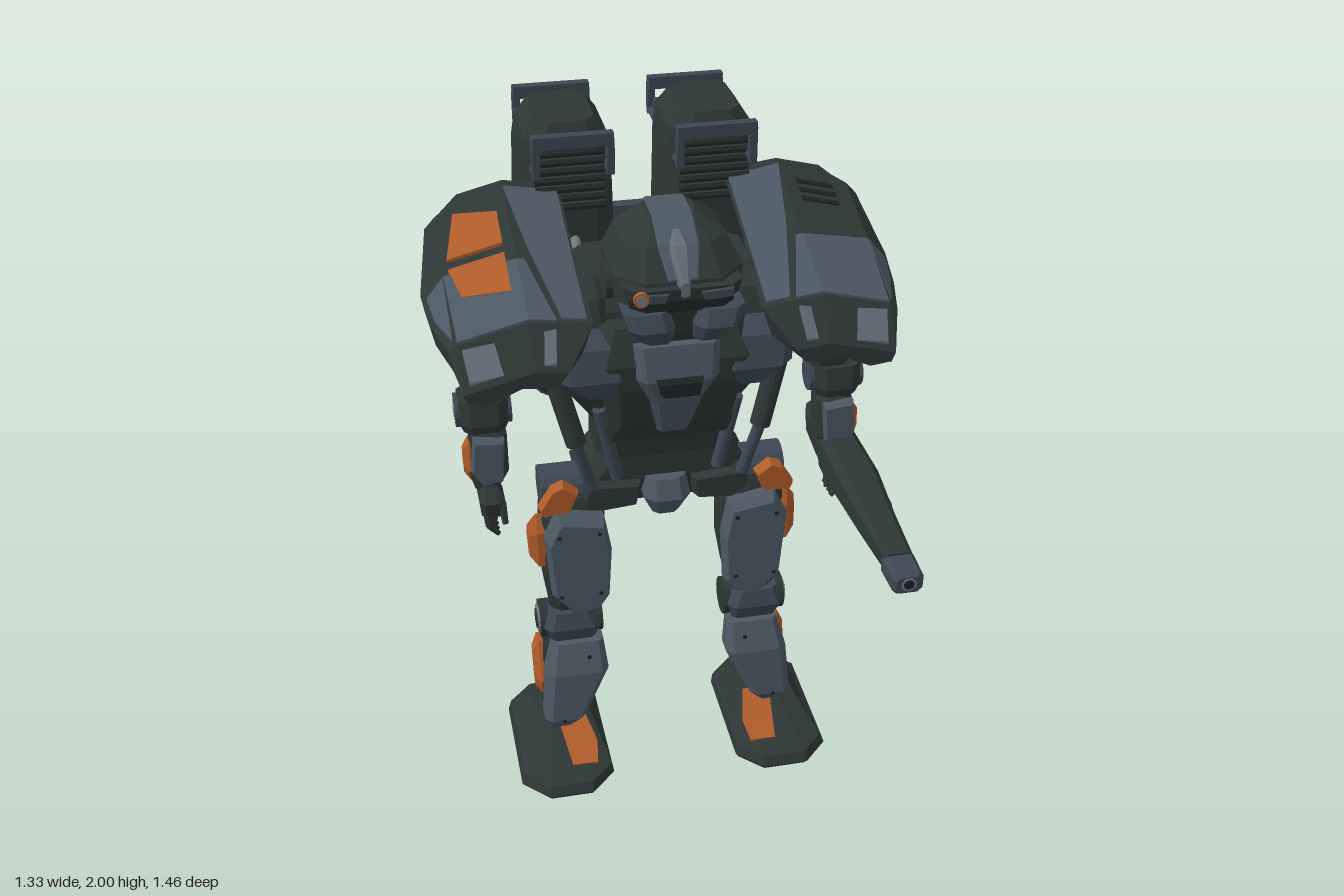
import * as THREE from 'three';

const paint = (name, color) => { const m = new THREE.MeshStandardMaterial({ color }); m.name = name; return m; };
const M = {
  dark: paint('dark hull', 0x2e3735), slate: paint('slate armour', 0x4c5864), mid: paint('blue grey', 0x3d4753),
  light: paint('bare metal', 0x747c83), worn: paint('worn edge', 0x616c76), orange: paint('orange', 0xb05c2a), black: paint('black', 0x1c2222),
};

// Flat-shaded, outward-facing copy of a closed geometry
function facet(geo) {
  const src = geo.index ? geo.toNonIndexed() : geo.clone();
  const p = src.attributes.position.array;
  let volume = 0;
  for (let i = 0; i < p.length; i += 9) {
    const [a, b, c, d, e, f, g, h, k] = p.subarray(i, i + 9);
    volume += a * (e * k - f * h) - b * (d * k - f * g) + c * (d * h - e * g);
  }
  if (volume < 0) for (let i = 0; i < p.length; i += 9)
    for (let j = 0; j < 3; j++) [p[i + 3 + j], p[i + 6 + j]] = [p[i + 6 + j], p[i + 3 + j]];
  const out = new THREE.BufferGeometry();
  out.setAttribute('position', new THREE.BufferAttribute(p, 3));
  out.computeVertexNormals();
  return out;
}

function add(group, name, mat, geo) {
  const mesh = new THREE.Mesh(facet(geo), mat);
  mesh.name = name;
  group.add(mesh);
}

// Skin over rings of points, closed by caps
function loft(rings) {
  const v = [], n = rings[0].length;
  for (let r = 0; r + 1 < rings.length; r++) for (let i = 0; i < n; i++) {
    const j = (i + 1) % n, A = rings[r], B = rings[r + 1];
    v.push(...A[i], ...A[j], ...B[j], ...A[i], ...B[j], ...B[i]);
  }
  const cap = (ring, flip) => {
    const c = [0, 1, 2].map(k => ring.reduce((s, q) => s + q[k], 0) / n);
    for (let i = 0; i < n; i++) {
      const a = ring[i], b = ring[(i + 1) % n];
      v.push(...c, ...(flip ? b : a), ...(flip ? a : b));
    }
  };
  cap(rings[0], true);
  cap(rings[rings.length - 1], false);
  const g = new THREE.BufferGeometry();
  g.setAttribute('position', new THREE.Float32BufferAttribute(v, 3));
  return g;
}

// Chamfered block from rows [t, a0, a1, b0, b1]; t runs along y (a=x, b=z) or z (a=x, b=y)
function block(rows, c = 0.22, axis = 'y') {
  return loft(rows.map(([t, a0, a1, b0, b1]) => {
    const k = c * Math.min(a1 - a0, Math.abs(b1 - b0)), s = k * Math.sign(b1 - b0);
    return [[a0 + k, b0], [a1 - k, b0], [a1, b0 + s], [a1, b1 - s], [a1 - k, b1], [a0 + k, b1], [a0, b1 - s], [a0, b0 + s]]
      .map(([a, b]) => axis === 'y' ? [a, t, b] : [a, b, t]);
  }));
}
const box = (x0, x1, y0, y1, z0, z1, c = 0.1) => block([[y0, x0, x1, z0, z1], [y1, x0, x1, z0, z1]], c);

// Bevelled plate from an outline: axis z takes (x,y), axis x takes (z,y)
function plate(pts, w0, w1, axis = 'z', inset = 0.88) {
  const cu = pts.reduce((s, p) => s + p[0], 0) / pts.length, cv = pts.reduce((s, p) => s + p[1], 0) / pts.length;
  const ring = (w, k) => pts.map(([u, v]) => {
    const a = cu + (u - cu) * k, b = cv + (v - cv) * k;
    return axis === 'z' ? [a, b, w] : [w, b, a];
  });
  return loft([ring(w0, 1), ring(w0 + (w1 - w0) * 0.5, 1), ring(w1, inset)]);
}

const between = (geo, a, b) => {
  const A = new THREE.Vector3(...a), B = new THREE.Vector3(...b), d = B.clone().sub(A).normalize();
  return geo.applyQuaternion(new THREE.Quaternion().setFromUnitVectors(new THREE.Vector3(0, 1, 0), d)).translate(A.x, A.y, A.z);
};
function rod(a, b, r, r2 = r, n = 14) {
  const len = new THREE.Vector3(...a).distanceTo(new THREE.Vector3(...b));
  return between(new THREE.CylinderGeometry(r2, r, len, n).translate(0, len / 2, 0), a, b);
}

// Mirrored copy across x
function mirrored(group, name) {
  const out = new THREE.Group();
  out.name = name;
  group.children.forEach(m => add(out, m.name, m.material, m.geometry.clone().scale(-1, 1, 1)));
  return out;
}

// Shoulder armour surface and the thin panels lying on it
const padY = (x, z) => 1.74 - 0.33 * z - Math.max(0, z - 0.22) * 0.9
  - (x < 0.4 ? (0.4 - x) * 0.13 : x < 0.6 ? (x - 0.4) * 0.25 : 0.05 + (x - 0.6) * 1.1);
const padPanel = (pts, h = 0.007) => loft([-0.002, h].map(o => pts.map(([x, z]) => [x, padY(x, z) + o, z])));

function buildPad(g) {
  const rows = [[-0.31, 0.27, 0.53], [-0.25, 0.24, 0.63], [-0.05, 0.24, 0.665], [0.08, 0.23, 0.65], [0.22, 0.23, 0.615], [0.305, 0.31, 0.59]];
  add(g, 'shoulderArmour', M.dark, loft(rows.map(([z, x0, x1]) => {
    const t = z > 0.25 ? 0.04 : 0.085, xm = Math.min(0.6, x1 - 0.02), y = x => padY(x, z);
    return [[x0, y(x0), z], [0.4, y(0.4), z], [xm, y(xm), z], [x1, y(x1), z], [x1 - 0.01, y(x1) - t * 0.7, z],
      [xm - 0.05, y(xm) - t, z], [0.4, y(0.4) - t * 0.7, z], [x0 + 0.03, y(x0) - t, z]];
  })));
  add(g, 'shoulderInnerStrip', M.slate, padPanel([[0.25, -0.27], [0.4, -0.28], [0.365, -0.05], [0.31, 0.21], [0.245, 0.21]]));
  add(g, 'shoulderFrontPanel', M.slate, padPanel([[0.4, 0], [0.6, -0.02], [0.59, 0.217], [0.4, 0.217]]));
  add(g, 'shoulderFrontPanelInner', M.slate, padPanel([[0.38, 0], [0.4, 0], [0.4, 0.217], [0.325, 0.217]]));
  add(g, 'shoulderFrontSide', M.slate, padPanel([[0.602, -0.02], [0.65, -0.01], [0.637, 0.09], [0.602, 0.2]]));
  add(g, 'shoulderLip', M.worn, padPanel([[0.33, 0.235], [0.58, 0.235], [0.57, 0.293], [0.34, 0.293]], 0.009));
}

function buildArm(g) {
  add(g, 'shoulderJoint', M.mid, rod([0.28, 1.51, -0.03], [0.5, 1.51, -0.03], 0.075));
  add(g, 'upperArm', M.dark, block([[1.3, 0.45, 0.56, -0.09, 0.03], [1.45, 0.41, 0.54, -0.11, 0.05], [1.57, 0.36, 0.49, -0.1, 0.04]]));
  add(g, 'upperArmPlate', M.mid, plate([[0.02, 1.56], [-0.08, 1.56], [-0.09, 1.42], [-0.04, 1.36], [0.02, 1.42]], 0.52, 0.55, 'x'));
  add(g, 'upperArmFront', M.mid, plate([[0.44, 1.5], [0.51, 1.49], [0.53, 1.44], [0.47, 1.38], [0.44, 1.43]], 0.03, 0.06));
  add(g, 'elbow', M.dark, block([[1.23, 0.46, 0.58, -0.07, 0.05], [1.26, 0.45, 0.59, -0.08, 0.06], [1.33, 0.45, 0.59, -0.08, 0.05]]));
  add(g, 'elbowDisc', M.mid, rod([0.44, 1.28, -0.02], [0.6, 1.28, -0.02], 0.05));
  add(g, 'elbowCap', M.light, rod([0.6, 1.28, -0.02], [0.603, 1.28, -0.02], 0.02));
  add(g, 'forearm', M.dark, block([[1.04, 0.49, 0.56, -0.03, 0.05], [1.1, 0.46, 0.575, -0.05, 0.07], [1.22, 0.46, 0.565, -0.05, 0.06], [1.25, 0.48, 0.56, -0.03, 0.04]]));
  add(g, 'forearmPlate', M.slate, plate([[0.47, 1.22], [0.56, 1.23], [0.57, 1.12], [0.54, 1.07], [0.48, 1.08]], 0.055, 0.085));
  add(g, 'forearmMark', M.orange, plate([[0.04, 1.2], [-0.03, 1.18], [-0.035, 1.1], [0.03, 1.07], [0.05, 1.11]], 0.555, 0.588, 'x', 0.6));
  add(g, 'palm', M.dark, block([[0.97, 0.485, 0.55, 0, 0.09], [1.02, 0.48, 0.555, -0.01, 0.1], [1.06, 0.5, 0.545, 0, 0.06]]));
  for (let i = 0; i < 4; i++) {
    const z = 0.01 + i * 0.024;
    add(g, 'finger', M.dark, rod([0.535, 0.98, z], [0.53, 0.935, z], 0.012, 0.012, 8));
    add(g, 'fingertip', M.dark, rod([0.53, 0.935, z], [0.505, 0.905, z], 0.011, 0.008, 8));
  }
  add(g, 'thumb', M.dark, rod([0.49, 1.01, 0.08], [0.485, 0.95, 0.1], 0.013, 0.009, 8));
}

function buildLeg(g) {
  add(g, 'hipJoint', M.mid, rod([0.18, 0.98, -0.03], [0.37, 0.98, -0.03], 0.065));
  add(g, 'hipMark', M.orange, plate([[0.265, 1.02], [0.31, 1.055], [0.345, 1.04], [0.385, 0.975], [0.375, 0.95], [0.29, 0.96]], 0.06, 0.1));
  add(g, 'thigh', M.dark, block([[0.53, 0.24, 0.35, -0.07, 0.03], [0.58, 0.21, 0.36, -0.13, 0.05], [0.7, 0.19, 0.375, -0.15, 0.07], [0.9, 0.18, 0.37, -0.11, 0.06], [0.97, 0.22, 0.34, -0.08, 0.04]]));
  add(g, 'thighPlate', M.slate, plate([[0.18, 0.63], [0.17, 0.8], [0.19, 0.92], [0.33, 0.945], [0.37, 0.86], [0.355, 0.65], [0.29, 0.57], [0.21, 0.585]], 0.05, 0.11));
  add(g, 'thighMark', M.orange, plate([[0.01, 0.91], [-0.03, 0.88], [-0.06, 0.8], [-0.01, 0.72], [0.035, 0.73], [0.035, 0.85]], 0.36, 0.412, 'x', 0.6));
  add(g, 'thighPiston', M.mid, rod([0.28, 0.56, -0.11], [0.28, 0.75, -0.155], 0.016));
  add(g, 'kneeAxle', M.dark, rod([0.195, 0.49, -0.02], [0.39, 0.49, -0.02], 0.06));
  add(g, 'kneeRing', M.light, rod([0.39, 0.49, -0.02], [0.396, 0.49, -0.02], 0.045));
  add(g, 'kneeHub', M.dark, rod([0.396, 0.49, -0.02], [0.4, 0.49, -0.02], 0.032));
  add(g, 'kneePlate', M.mid, block([[0.44, 0.22, 0.36, -0.02, 0.05], [0.5, 0.205, 0.38, -0.02, 0.075], [0.555, 0.23, 0.36, -0.02, 0.06]]));
  add(g, 'calf', M.dark, block([[0.1, 0.29, 0.39, -0.12, -0.03], [0.25, 0.27, 0.39, -0.13, -0.01], [0.46, 0.23, 0.37, -0.1, 0.02]]));
  add(g, 'shinPlate', M.slate, block([[0.12, 0.31, 0.385, 0.04, 0.085], [0.18, 0.27, 0.4, 0.03, 0.13], [0.35, 0.19, 0.385, 0.01, 0.115], [0.445, 0.2, 0.36, 0, 0.075]]));
  add(g, 'calfMark', M.orange, plate([[0, 0.24], [-0.02, 0.18], [-0.06, 0.2], [-0.11, 0.36], [-0.05, 0.37]], 0.375, 0.412, 'x', 0.65));
  add(g, 'calfBackPlate', M.mid, block([[0.24, 0.28, 0.37, -0.15, -0.08], [0.3, 0.26, 0.38, -0.165, -0.08], [0.36, 0.26, 0.37, -0.15, -0.08]]));
  for (const x of [0.28, 0.36]) add(g, 'anklePiston', M.mid, rod([x, 0.1, -0.13], [x, 0.45, -0.12], 0.012, 0.012, 8));
  add(g, 'ankle', M.mid, rod([0.26, 0.15, -0.12], [0.4, 0.15, -0.12], 0.035));
  for (const [x, y, z] of [[0.21, 0.88, 0.11], [0.33, 0.88, 0.11], [0.21, 0.66, 0.11], [0.33, 0.66, 0.11], [0.25, 0.4, 0.095], [0.34, 0.18, 0.13]])
    add(g, 'bolt', M.black, rod([x, y, z - 0.02], [x, y, z + 0.002], 0.007, 0.007, 6));
  add(g, 'foot', M.dark, block([[0, 0.21, 0.48, -0.21, 0.28], [0.02, 0.2, 0.495, -0.22, 0.295], [0.05, 0.205, 0.485, -0.22, 0.28], [0.065, 0.215, 0.465, -0.2, 0.22], [0.12, 0.25, 0.42, -0.15, 0.03]], 0.26));
  const toe = [[0.25, 0.062, 0.215], [0.33, 0.062, 0.215], [0.35, 0.108, 0.06], [0.32, 0.118, 0.03], [0.265, 0.118, 0.03], [0.24, 0.085, 0.14]];
  add(g, 'footMark', M.orange, loft([0, 0.007].map(o => toe.map(([x, y, z]) => [x, y + o, z]))));
}

function buildPack(g) {
  add(g, 'packBody', M.dark, block([[1.13, 0.11, 0.32, -0.32, -0.57], [1.18, 0.075, 0.355, -0.28, -0.6], [1.6, 0.075, 0.355, -0.28, -0.6], [1.89, 0.082, 0.34, -0.28, -0.6], [1.95, 0.09, 0.33, -0.285, -0.595], [2, 0.125, 0.295, -0.31, -0.56]], 0.2));
  add(g, 'frontVent', M.black, box(0.11, 0.31, 1.75, 1.92, -0.285, -0.272, 0));
  add(g, 'rearVent', M.mid, box(0.1, 0.325, 1.755, 1.93, -0.63, -0.59));
  for (let i = 0; i < 6; i++) {
    const y = 1.763 + i * 0.027;
    add(g, 'frontSlat', M.dark, box(0.11, 0.31, y, y + 0.013, -0.28, -0.262, 0));
    add(g, 'rearSlat', M.dark, box(0.11, 0.315, y, y + 0.015, -0.65, -0.62, 0));
  }
  for (const [y0, y1, z] of [[1.27, 1.5, -0.685], [1.515, 1.745, -0.668]])
    add(g, 'rearPanel', M.slate, plate([[0.095, y0 + 0.03], [0.12, y0], [0.31, y0], [0.335, y0 + 0.03], [0.335, y1 - 0.02], [0.315, y1], [0.115, y1], [0.095, y1 - 0.02]], -0.59, z, 'z', 0.93));
  for (const [z, back, y] of [[-0.235, -0.29, 1.975], [-0.665, -0.59, 1.965]]) {
    add(g, 'handleBar', M.mid, box(0.09, 0.32, y - 0.018, y + 0.018, z - 0.015, z + 0.015));
    for (const x of [0.1, 0.31]) {
      add(g, 'handlePost', M.mid, box(x - 0.012, x + 0.012, 1.87, y, z - 0.012, z + 0.012));
      add(g, 'handleFoot', M.mid, rod([x, 1.88, z], [x, 1.88, back], 0.012, 0.012, 8));
    }
  }
  // Thruster pointing down and back
  const at = [0.215, 1.14, -0.527], d = [0, -0.58, -0.815], along = t => at.map((v, k) => v + d[k] * t);
  const profile = [[0, -0.06], [0.12, -0.06], [0.135, 0.03], [0.13, 0.07], [0.118, 0.08], [0.118, 0.16], [0.095, 0.165], [0.08, 0.1], [0, 0.08]];
  add(g, 'thruster', M.dark, between(new THREE.LatheGeometry(profile.map(p => new THREE.Vector2(...p)), 20), at, along(1)));
  for (const [r, t, m] of [[0.105, 0.16, M.light], [0.13, 0.05, M.mid], [0.083, 0.12, M.mid]])
    add(g, 'thrusterRing', m, between(new THREE.TorusGeometry(r, 0.009, 6, 20).rotateX(Math.PI / 2), along(t), along(1)));
  add(g, 'thrusterCore', M.black, rod(along(0.07), along(0.095), 0.06));
}

function buildTorsoSide(g) {
  add(g, 'chestPlate', M.mid, block([[1.4, 0.17, 0.26, 0.08, 0.2], [1.46, 0.125, 0.33, 0.06, 0.225], [1.55, 0.13, 0.34, 0.06, 0.2], [1.59, 0.16, 0.31, 0.06, 0.15]]));
  add(g, 'waistPiston', M.dark, rod([0.32, 1.4, 0.08], [0.27, 1.2, 0.1], 0.03));
  add(g, 'waistPistonRod', M.mid, rod([0.27, 1.2, 0.1], [0.225, 1.03, 0.08], 0.018));
  add(g, 'innerPiston', M.mid, rod([0.2, 1.3, 0.09], [0.15, 1.06, 0.08], 0.02));
  add(g, 'pelvisPlate', M.dark, plate([[0.075, 1.02], [0.24, 1.03], [0.25, 0.98], [0.2, 0.94], [0.085, 0.95]], 0.02, 0.085));
  add(g, 'packStrut', M.light, rod([0.2, 1.5, -0.13], [0.2, 1.66, -0.3], 0.018));
  add(g, 'collar', M.dark, block([[1.55, 0.16, 0.3, -0.1, 0.16], [1.66, 0.18, 0.27, -0.12, 0.12], [1.71, 0.19, 0.24, -0.1, 0.06]]));
}

function buildTorso(g) {
  add(g, 'torso', M.dark, block([[0.93, -0.2, 0.2, -0.18, 0.02], [1.02, -0.26, 0.26, -0.19, 0.05], [1.1, -0.2, 0.2, -0.17, 0.05], [1.22, -0.2, 0.2, -0.17, 0.07], [1.36, -0.3, 0.3, -0.17, 0.1], [1.5, -0.36, 0.36, -0.18, 0.13], [1.62, -0.33, 0.33, -0.17, 0.12], [1.71, -0.24, 0.24, -0.14, 0.06]]));
  add(g, 'chestHull', M.dark, block([[1.19, -0.19, 0.19, 0.02, 0.1], [1.28, -0.18, 0.18, 0.02, 0.16], [1.42, -0.2, 0.2, 0.02, 0.21], [1.5, -0.24, 0.24, 0.02, 0.22], [1.6, -0.2, 0.2, 0.02, 0.18]]));
  add(g, 'chestCentre', M.slate, block([[1.25, -0.045, 0.045, 0.08, 0.165], [1.38, -0.075, 0.075, 0.08, 0.225], [1.46, -0.115, 0.115, 0.08, 0.25], [1.56, -0.12, 0.12, 0.08, 0.23]], 0.15));
  add(g, 'chestSlot', M.black, plate([[-0.065, 1.47], [0.065, 1.47], [0.055, 1.425], [-0.055, 1.425]], 0.23, 0.28));
  add(g, 'pelvisCentre', M.slate, block([[0.9, -0.04, 0.04, -0.04, 0.07], [0.97, -0.07, 0.07, -0.04, 0.11], [1.03, -0.06, 0.06, -0.04, 0.085]]));
  add(g, 'packMount', M.dark, box(-0.25, 0.25, 1.36, 1.57, -0.3, -0.14));
  add(g, 'packBridge', M.dark, box(-0.1, 0.1, 1.3, 1.62, -0.5, -0.27));
  add(g, 'bridgeClamp', M.mid, box(-0.055, 0.055, 1.58, 1.65, -0.53, -0.49));
}

function buildHead(g) {
  add(g, 'helmet', M.dark, block([[1.57, -0.1, 0.1, 0, 0.22], [1.62, -0.14, 0.14, -0.02, 0.27], [1.7, -0.165, 0.165, -0.05, 0.295], [1.78, -0.175, 0.175, -0.05, 0.285], [1.85, -0.14, 0.14, -0.03, 0.22], [1.9, -0.07, 0.07, 0.02, 0.13]], 0.22));
  const ridge = [[0.0, 1.885, 0.045], [0.02, 1.9, 0.055], [0.13, 1.9, 0.055], [0.22, 1.85, 0.055], [0.285, 1.78, 0.04]];
  add(g, 'helmetRidge', M.slate, block(ridge.map(([z, y, w]) => [z, -w, w, y - 0.03, y + 0.006]), 0.1, 'z'));
  add(g, 'helmetFin', M.worn, block([[0.16, -0.01, 0.01, 1.85, 1.885], [0.24, -0.028, 0.028, 1.8, 1.86], [0.31, -0.012, 0.012, 1.745, 1.785]], 0.2, 'z'));
  add(g, 'brow', M.dark, block([[1.735, -0.15, 0.15, 0.16, 0.305], [1.77, -0.16, 0.16, 0.16, 0.31]], 0.25));
  add(g, 'visor', M.black, block([[1.7, -0.14, 0.14, 0.16, 0.3], [1.735, -0.14, 0.14, 0.16, 0.3]], 0.25));
  for (const s of [-1, 1]) {
    add(g, 'cheek', M.mid, block([[1.61, 0.03, 0.11, 0.2, 0.305], [1.66, 0.025, 0.15, 0.2, 0.335], [1.705, 0.04, 0.165, 0.2, 0.315]]).scale(s, 1, 1));
    add(g, 'browPlate', M.mid, plate([[0.04, 1.76], [0.13, 1.765], [0.13, 1.74], [0.05, 1.735]], 0.29, 0.318).scale(s, 1, 1));
    add(g, 'earDisc', M.dark, rod([s * 0.15, 1.72, 0.12], [s * 0.185, 1.72, 0.12], 0.05));
  }
  add(g, 'sensorRim', M.orange, rod([-0.118, 1.753, 0.31], [-0.118, 1.753, 0.322], 0.021));
  add(g, 'sensorLens', M.light, rod([-0.118, 1.753, 0.322], [-0.118, 1.753, 0.326], 0.014));
}

function buildGun(g) {
  add(g, 'gunBody', M.dark, block([[-0.2, 0.5, 0.55, 1.02, 1.07], [-0.12, 0.48, 0.575, 1, 1.09], [0.02, 0.47, 0.585, 1, 1.11], [0.25, 0.465, 0.59, 1, 1.11], [0.45, 0.475, 0.575, 1.01, 1.095], [0.64, 0.485, 0.565, 1.025, 1.085]], 0.2, 'z'));
  add(g, 'gunMuzzle', M.mid, block([[0.63, 0.48, 0.57, 1.015, 1.08], [0.72, 0.482, 0.568, 1.015, 1.075], [0.73, 0.49, 0.56, 1.02, 1.07]], 0.2, 'z'));
  add(g, 'gunRing', M.light, rod([0.525, 1.047, 0.7], [0.525, 1.047, 0.731], 0.021));
  add(g, 'gunBore', M.black, rod([0.525, 1.047, 0.7], [0.525, 1.047, 0.733], 0.015));
  add(g, 'gunRail', M.mid, box(0.58, 0.592, 1.04, 1.06, 0.2, 0.38));
  add(g, 'gunMark', M.orange, box(0.58, 0.59, 1.055, 1.08, 0.08, 0.11));
}

export function createModel() {
  const root = new THREE.Group();
  root.name = 'armouredRobot';
  const part = (name, build) => { const g = new THREE.Group(); g.name = name; build(g); root.add(g); return g; };
  const left = {}, right = {};
  for (const [name, build] of Object.entries({ Shoulder: buildPad, Arm: buildArm, Leg: buildLeg, Pack: buildPack, TorsoSide: buildTorsoSide })) {
    left[name] = part('left' + name, build);
    root.add(right[name] = mirrored(left[name], 'right' + name));
  }
  part('torso', buildTorso);
  part('head', buildHead);
  part('gun', buildGun);
  // Orange panels on the right shoulder, slots on the left
  for (const pts of [[[0.43, -0.19], [0.55, -0.23], [0.585, -0.07], [0.43, -0.07]], [[0.43, -0.035], [0.585, -0.035], [0.56, 0.075], [0.43, 0.105]]])
    add(right.Shoulder, 'shoulderMark', M.orange, padPanel(pts, 0.0095).scale(-1, 1, 1));
  for (const z of [-0.23, -0.195, -0.16])
    add(left.Shoulder, 'shoulderSlot', M.black, padPanel([[0.44, z], [0.55, z], [0.55, z + 0.014], [0.44, z + 0.014]], 0.004));
  return root;
}
